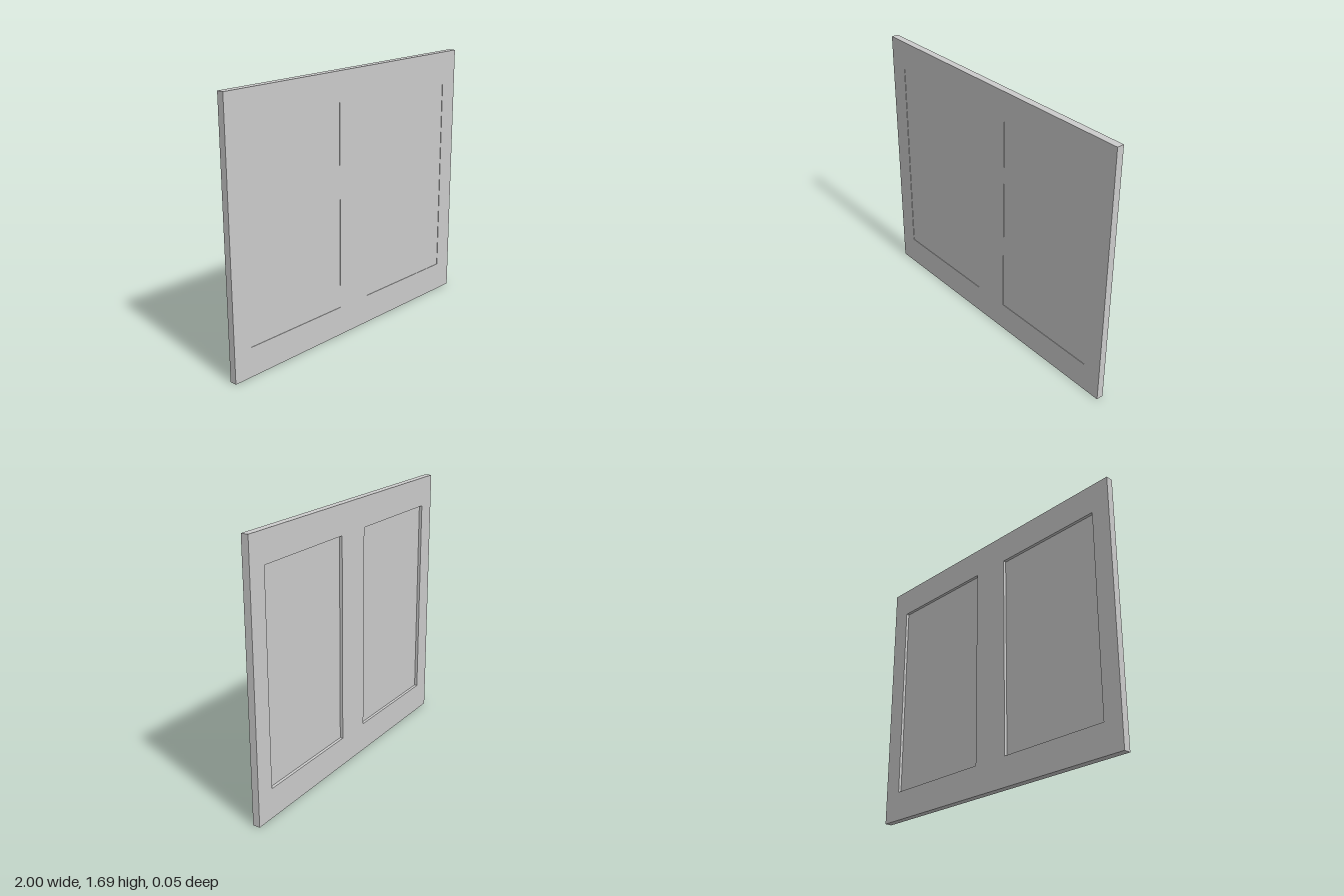
import * as THREE from 'three';

const WIDTH = 2, HEIGHT = 1.694, DEPTH = 0.046;
const PANE_W = 0.75, PANE_BOTTOM = 0.189, PANE_TOP = 1.505;
const PANE_FRONT = 0.02, PANE_BACK = -0.004;

function rectangle(Type, x0, y0, x1, y1) {
  const path = new Type();
  path.moveTo(x0, y0);
  path.lineTo(x1, y0);
  path.lineTo(x1, y1);
  path.lineTo(x0, y1);
  path.closePath();
  return path;
}

export function createModel() {
  const group = new THREE.Group();
  group.name = 'doublePanel';
  const material = new THREE.MeshStandardMaterial({ color: 0xcccccc });

  // Surrounding frame with two openings
  const outline = rectangle(THREE.Shape, -WIDTH / 2, 0, WIDTH / 2, HEIGHT);
  for (const cx of [-0.5, 0.5]) {
    outline.holes.push(
      rectangle(THREE.Path, cx - PANE_W / 2, PANE_BOTTOM, cx + PANE_W / 2, PANE_TOP)
    );
  }
  const frameGeometry = new THREE.ExtrudeGeometry(outline, { depth: DEPTH, bevelEnabled: false });
  frameGeometry.translate(0, 0, -DEPTH / 2);
  const frame = new THREE.Mesh(frameGeometry, material);
  frame.name = 'frame';
  group.add(frame);

  // Inset panes: nearly flush at the front, deeper recess at the back
  const paneGeometry = new THREE.BoxGeometry(PANE_W, PANE_TOP - PANE_BOTTOM, PANE_FRONT - PANE_BACK);
  for (const [name, cx] of [['rightPane', -0.5], ['leftPane', 0.5]]) {
    const pane = new THREE.Mesh(paneGeometry, material);
    pane.name = name;
    pane.position.set(cx, (PANE_TOP + PANE_BOTTOM) / 2, (PANE_FRONT + PANE_BACK) / 2);
    group.add(pane);
  }

  return group;
}
